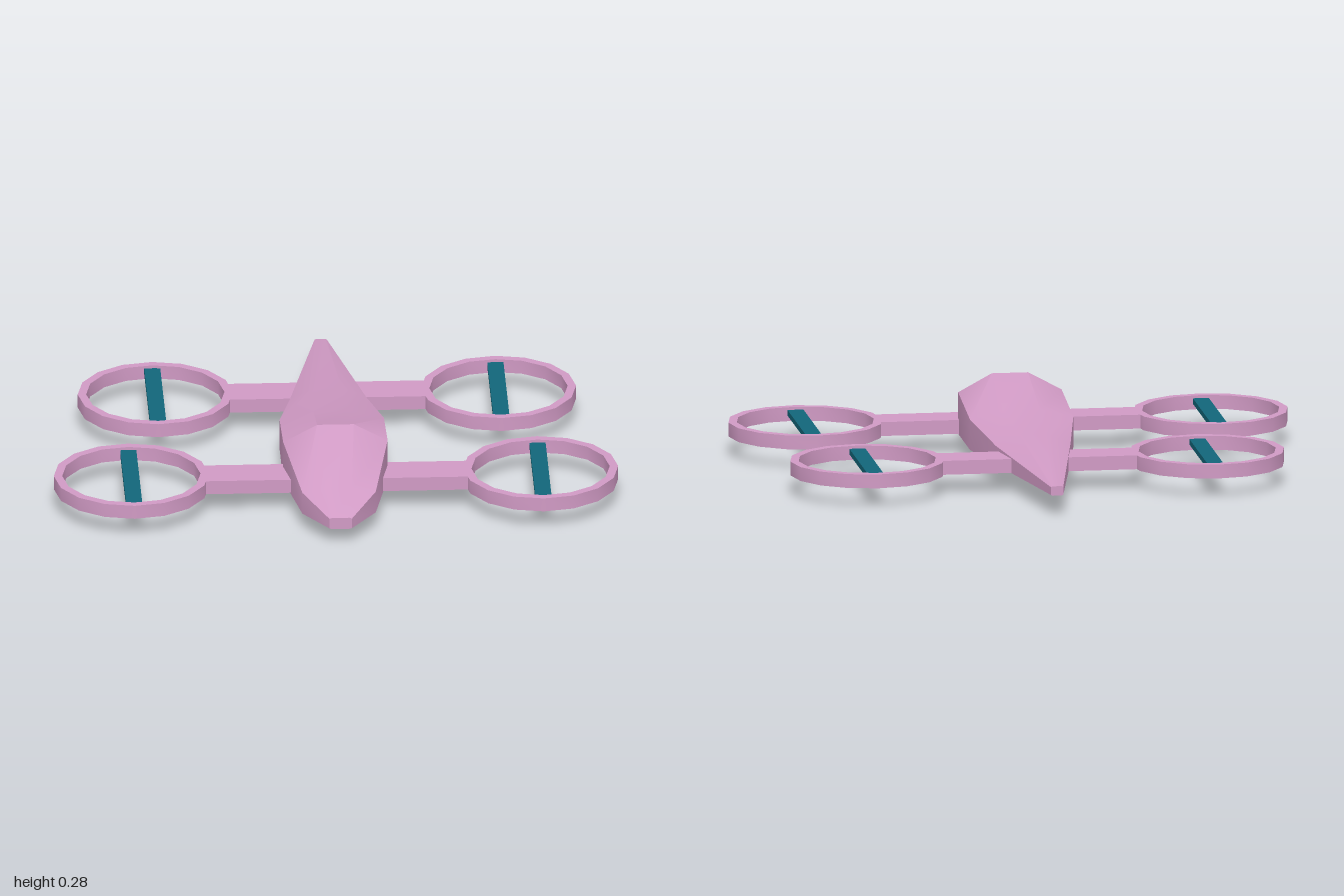
import * as THREE from 'three';
import { toCreasedNormals } from 'three/addons/utils/BufferGeometryUtils.js';

const pink = new THREE.MeshStandardMaterial({ color: 0xd09ac4 });
const teal = new THREE.MeshStandardMaterial({ color: 0x12667a });

function addMesh(parent, name, geometry, material, x = 0, y = 0, z = 0) {
  const mesh = new THREE.Mesh(geometry, material);
  mesh.name = name;
  mesh.position.set(x, y, z);
  parent.add(mesh);
  return mesh;
}

// Eight-sided hull lofted from nose to tail
function hullGeometry() {
  // z, half width, flat half width, top, shoulder, chine, bottom
  const sections = [
    [0.79, 0.04, 0.03, 0.103, 0.1, 0.063, 0.06],
    [0.66, 0.13, 0.045, 0.158, 0.145, 0.065, 0.041],
    [0.37, 0.185, 0.065, 0.28, 0.215, 0.065, 0],
    [0.08, 0.185, 0.065, 0.205, 0.175, 0.065, 0],
    [-0.2, 0.134, 0.048, 0.172, 0.135, 0.067, 0.022],
    [-0.79, 0.022, 0.016, 0.103, 0.1, 0.072, 0.069],
  ];
  const position = [];
  const index = [];
  for (const [z, w, f, top, shoulder, chine, bottom] of sections) {
    const right = [[f, bottom], [w, chine], [w, shoulder], [f, top]];
    const left = right.map(([x, y]) => [-x, y]).reverse();
    for (const [x, y] of [...right, ...left]) position.push(x, y, z);
  }
  const n = 8;
  for (let s = 0; s < sections.length - 1; s++) {
    for (let i = 0; i < n; i++) {
      const a = s * n + i;
      const b = s * n + ((i + 1) % n);
      index.push(a, a + n, b, b, a + n, b + n);
    }
  }
  // End caps
  const last = (sections.length - 1) * n;
  for (let i = 1; i < n - 1; i++) {
    index.push(0, i, i + 1);
    index.push(last, last + i + 1, last + i);
  }
  const geometry = new THREE.BufferGeometry();
  geometry.setAttribute('position', new THREE.Float32BufferAttribute(position, 3));
  geometry.setIndex(index);
  return toCreasedNormals(geometry, 0.65);
}

// Sixteen-sided duct ring with a rectangular section
function ringGeometry() {
  const outer = 0.275, inner = 0.245, h = 0.025;
  const profile = [[outer, -h], [outer, h], [inner, h], [inner, -h], [outer, -h]];
  const lathe = new THREE.LatheGeometry(profile.map(([x, y]) => new THREE.Vector2(x, y)), 16);
  return toCreasedNormals(lathe, 0.65);
}

export function createModel() {
  const model = new THREE.Group();
  model.name = 'quadRotorAircraft';
  addMesh(model, 'fuselage', hullGeometry(), pink);

  const ring = ringGeometry();
  const blade = new THREE.BoxGeometry(0.057, 0.02, 0.485);
  const deck = 0.095;
  const pairs = [
    { name: 'front', x: 0.725, z: 0.415 },
    { name: 'rear', x: 0.608, z: -0.3 },
  ];
  for (const { name, x, z } of pairs) {
    // Cross arm halves reach from the hull into the rings
    const length = x - 0.255;
    const arm = new THREE.BoxGeometry(length, 0.05, 0.14);
    for (const [side, sign] of [['Left', 1], ['Right', -1]]) {
      const rotor = new THREE.Group();
      rotor.name = `${name}${side}Rotor`;
      model.add(rotor);
      addMesh(rotor, 'arm', arm, pink, sign * length / 2, deck, z);
      addMesh(rotor, 'ductRing', ring, pink, sign * x, deck, z);
      addMesh(rotor, 'blade', blade, teal, sign * x, 0.1, z);
    }
  }
  return model;
}
